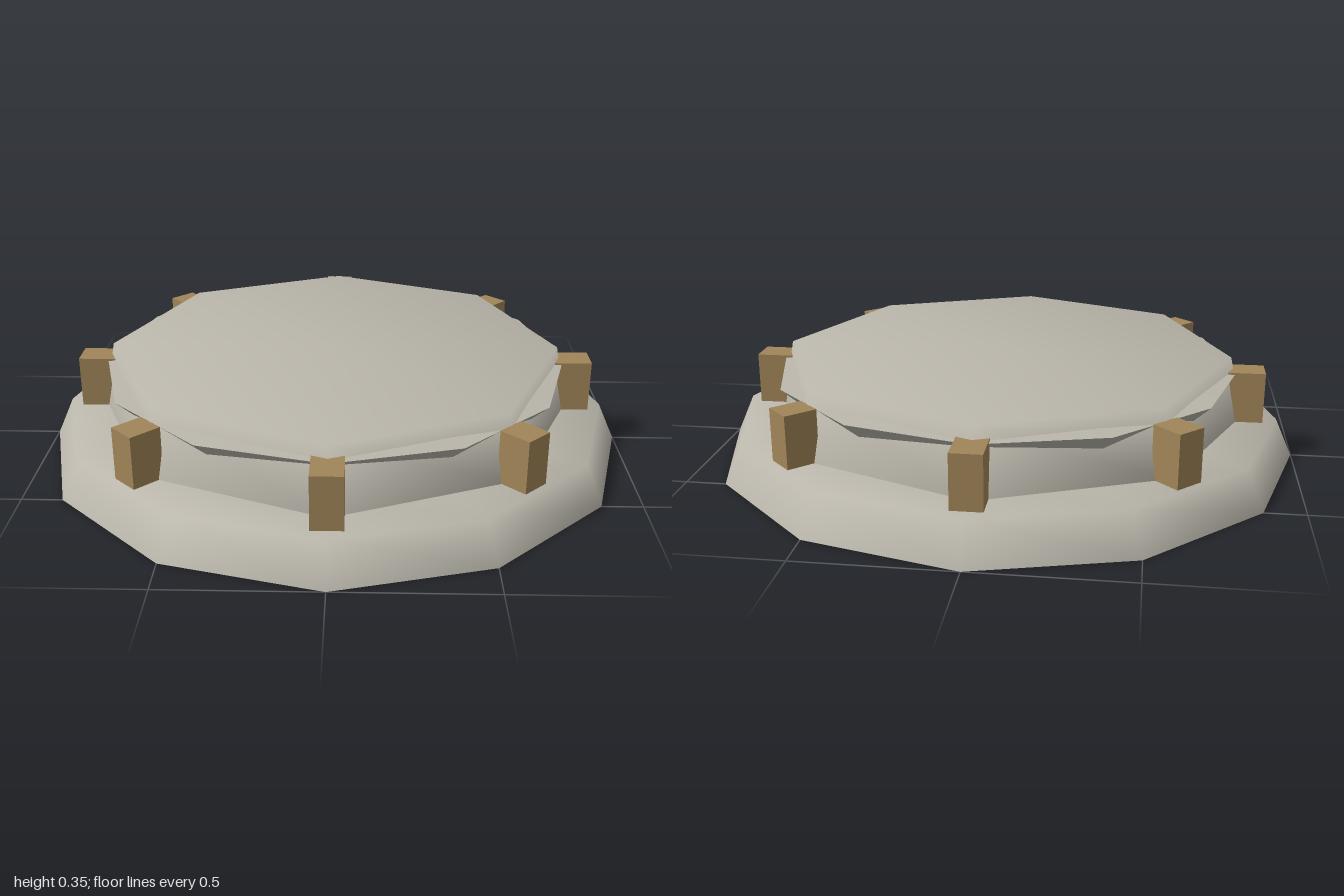
import * as THREE from 'three';

export function createModel() {
  const group = new THREE.Group();
  const stone = new THREE.MeshStandardMaterial({ color: 0xbab6ab });
  stone.name = 'warm grey stone';
  const wood = new THREE.MeshStandardMaterial({ color: 0xa08558 });
  wood.name = 'brown wood';

  const add = (name, geometry, material, parent = group) => {
    const mesh = new THREE.Mesh(geometry, material);
    mesh.name = name;
    parent.add(mesh);
    return mesh;
  };
  // Profile points run from the bottom outwards and up to the top
  const lathe = (points, sides) =>
    new THREE.LatheGeometry(points.map(([r, y]) => new THREE.Vector2(r, y)), sides);

  // Twelve-sided sloping plinth
  add('plinth', lathe([[1, 0.025], [0.94, 0.157], [0.7, 0.157]], 12), stone);

  // Flat underside, with its corners on those of the plinth
  const underside = add('underside', new THREE.CircleGeometry(1, 12), stone);
  underside.rotation.x = Math.PI / 2;
  underside.position.y = 0.025;

  // Eight-sided raised drum with softly shaded cap
  add('drum', lathe([[0.82, 0.15], [0.775, 0.372], [0, 0.372]], 8), stone);

  // Twelve-sided ledge showing between the posts, undercut below
  add('ledgeUndercut', lathe([[0.72, 0.25], [0.8, 0.325]], 12), stone);
  add('ledgeTop', lathe([[0.8, 0.325], [0.65, 0.337]], 12), stone);

  // Eight short posts around the drum
  for (let i = 0; i < 8; i++) {
    const diagonal = i % 2 === 1;
    const post = new THREE.Group();
    post.name = 'post';
    post.rotation.y = (i * Math.PI) / 4;
    const depth = diagonal ? 0.11 : 0.13;
    const block = add('postBlock', new THREE.BoxGeometry(0.1, 0.185, depth), wood, post);
    block.position.set(0, 0.24, diagonal ? 0.835 : 0.825);
    group.add(post);
  }
  return group;
}
